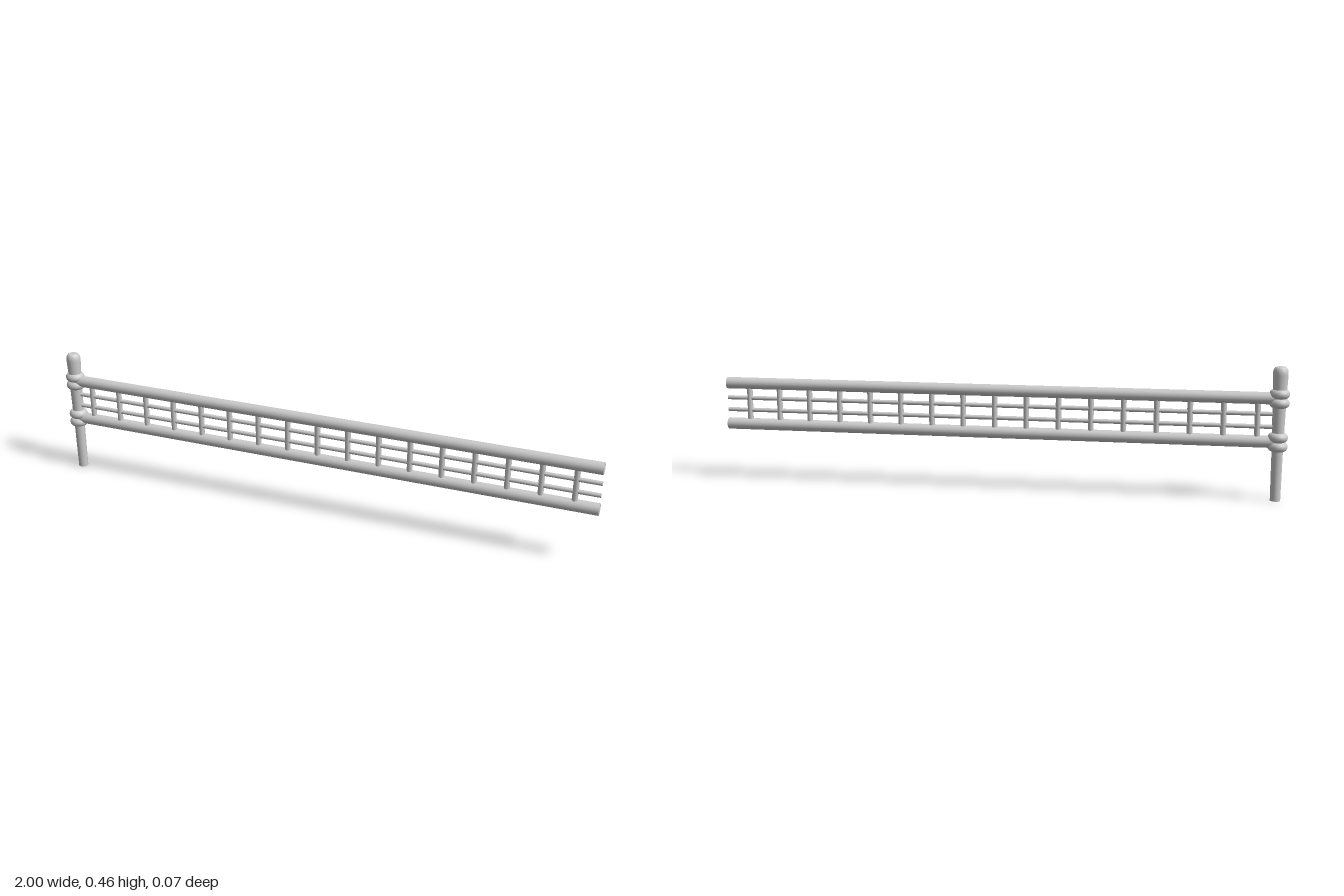
import * as THREE from 'three';

const material = new THREE.MeshStandardMaterial({ color: 0xcccccc });
const POST_X = -0.966;
const RAIL_Y = [0.205, 0.355];

export function createModel() {
  const group = new THREE.Group();
  const add = (name, geometry, x, y) => {
    const mesh = new THREE.Mesh(geometry, material);
    mesh.name = name;
    mesh.position.set(x, y, 0);
    group.add(mesh);
    return mesh;
  };

  // Horizontal bar running from x0 to x1
  const bar = (name, radius, x0, x1, y) => {
    const geometry = new THREE.CylinderGeometry(radius, radius, x1 - x0, 24);
    geometry.rotateZ(-Math.PI / 2);
    add(name, geometry, (x0 + x1) / 2, y);
  };

  // Post widening towards a rounded head
  const profile = [
    [0, 0], [0.0175, 0], [0.0175, 0], [0.019, 0.17], [0.0213, 0.28], [0.0238, 0.385],
    [0.0258, 0.435], [0.0255, 0.445], [0.0235, 0.454], [0.0195, 0.4605],
    [0.014, 0.463], [0, 0.463],
  ].map(([r, y]) => new THREE.Vector2(r, y));
  add('post', new THREE.LatheGeometry(profile, 24), POST_X, 0);

  // Rope bindings, two rings around the post at each rail
  const ring = new THREE.TorusGeometry(0.0172, 0.0168, 14, 28);
  ring.rotateX(Math.PI / 2);
  for (const y of RAIL_Y) {
    for (const side of [-1, 1]) add('binding', ring, POST_X, y + side * 0.0158);
  }

  // Main rails and the thin rails between them
  for (const y of RAIL_Y) bar('rail', 0.0208, POST_X, 1, y);
  for (const y of [0.257, 0.301]) bar('thinRail', 0.0075, POST_X, 1, y);

  // Upright bars
  const upright = new THREE.CylinderGeometry(0.01, 0.01, RAIL_Y[1] - RAIL_Y[0], 16);
  for (let i = 0; i < 17; i++) add('upright', upright, -0.896 + i * 0.1133, 0.28);

  return group;
}
